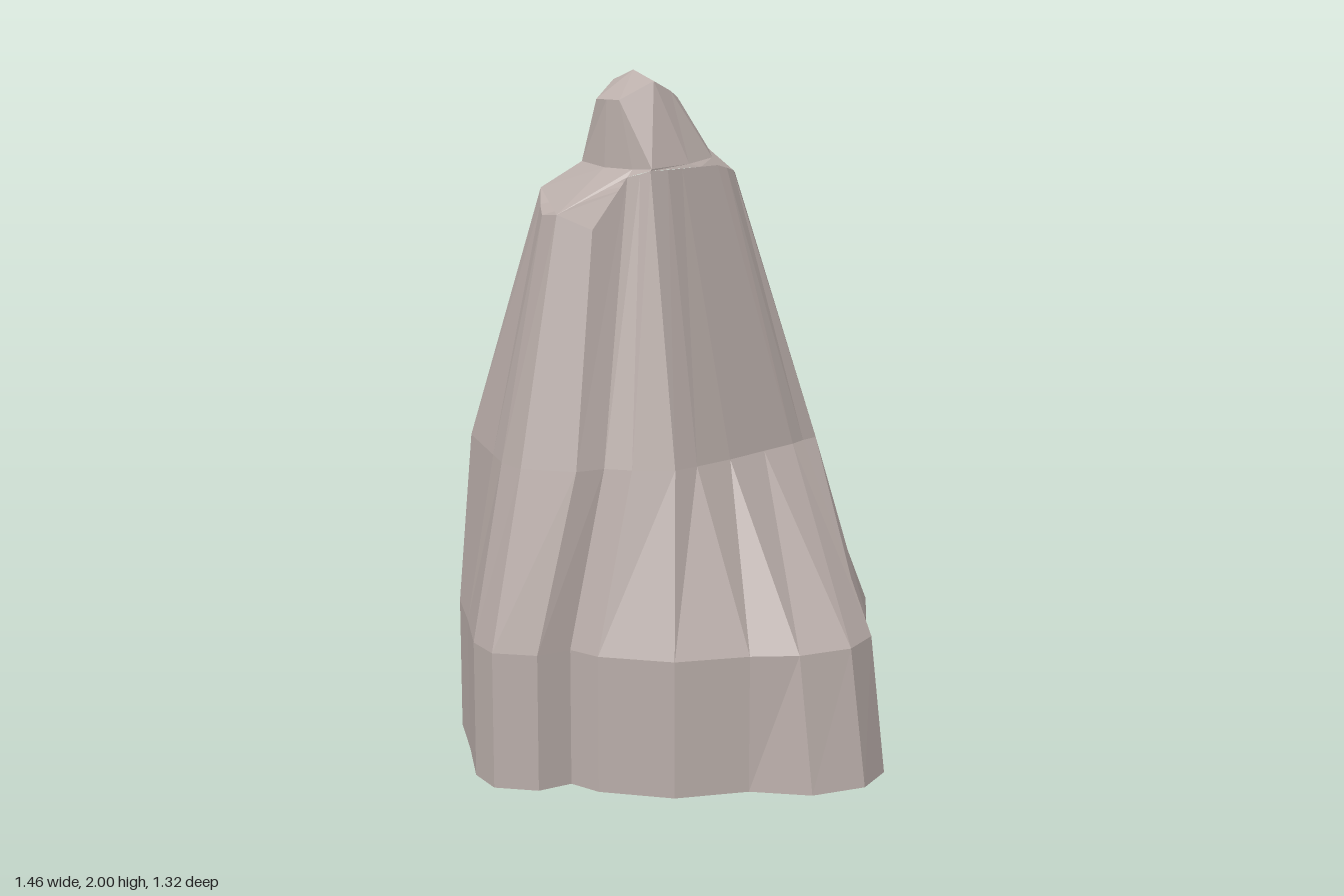
import * as THREE from 'three';

const material = new THREE.MeshStandardMaterial({ color: 0xb9ada9, flatShading: true });

// Joins equal-length rings into a skin; optional centre points close the ends.
function loft(name, rings, bottom, top) {
  const pos = [];
  const tri = (a, b, c) => pos.push(...a, ...b, ...c);
  const n = rings[0].length;
  for (let i = 0; i < n; i++) {
    const j = (i + 1) % n;
    for (let r = 0; r < rings.length - 1; r++) {
      const lo = rings[r], hi = rings[r + 1];
      tri(lo[i], hi[i], lo[j]);
      tri(lo[j], hi[i], hi[j]);
    }
    if (bottom) tri(bottom, rings[0][i], rings[0][j]);
    if (top) tri(top, rings[rings.length - 1][j], rings[rings.length - 1][i]);
  }
  const geo = new THREE.BufferGeometry();
  geo.setAttribute('position', new THREE.Float32BufferAttribute(pos, 3));
  geo.computeVertexNormals();
  const mesh = new THREE.Mesh(geo, material);
  mesh.name = name;
  return mesh;
}

// Outlines run left -> back -> right -> front as [x, z]
const footprint = [
  [-0.73, -0.06], [-0.6, -0.33], [-0.46, -0.5], [-0.32, -0.64], [-0.19, -0.66], [-0.04, -0.655],
  [0.1, -0.615], [0.24, -0.615], [0.4, -0.48], [0.51, -0.34], [0.55, -0.27], [0.7, -0.19],
  [0.73, -0.06], [0.66, 0.09], [0.51, 0.19], [0.39, 0.37], [0.2, 0.48], [0.1, 0.49],
  [0.07, 0.59], [-0.04, 0.66], [-0.15, 0.63], [-0.32, 0.5], [-0.49, 0.38], [-0.6, 0.2],
];
const waist = [
  [-0.67, 0], [-0.56, -0.21], [-0.46, -0.36], [-0.33, -0.42], [-0.22, -0.44], [-0.04, -0.43],
  [0.07, -0.42], [0.14, -0.41], [0.23, -0.38], [0.3, -0.35], [0.3, -0.29], [0.31, -0.23],
  [0.31, -0.1], [0.31, 0.05], [0.3, 0.18], [0.29, 0.26], [0.2, 0.34], [0.13, 0.38],
  [0.1, 0.46], [-0.04, 0.54], [-0.14, 0.52], [-0.23, 0.47], [-0.48, 0.33], [-0.58, 0.15],
];
// Uneven shoulder as [x, y, z]
const shoulder = [
  [-0.33, 1.67, -0.13], [-0.31, 1.66, -0.17], [-0.27, 1.66, -0.22], [-0.2, 1.67, -0.22],
  [-0.14, 1.68, -0.21], [-0.04, 1.69, -0.23], [0.04, 1.69, -0.225], [0.09, 1.69, -0.21],
  [0.12, 1.7, -0.18], [0.14, 1.71, -0.15], [0.15, 1.72, -0.11], [0.15, 1.73, -0.07],
  [0.15, 1.73, 0], [0.15, 1.73, 0.08], [0.15, 1.73, 0.14], [0.14, 1.73, 0.2],
  [0.11, 1.72, 0.21], [0.07, 1.71, 0.22], [0.05, 1.57, 0.34], [-0.04, 1.61, 0.39],
  [-0.13, 1.6, 0.36], [-0.21, 1.62, 0.29], [-0.27, 1.66, 0.23], [-0.31, 1.67, 0.05],
];

// Peak: grows from selected shoulder points, with an overhanging front
const peakStarts = [0, 2, 5, 7, 9, 12, 15, 17, 19, 22];
const neck = [
  [-0.19, 1.77, 0.04], [-0.15, 1.76, -0.12], [-0.04, 1.77, -0.12], [0.07, 1.77, -0.12],
  [0.12, 1.75, -0.08], [0.14, 1.74, 0.04], [0.14, 1.735, 0.195], [0.07, 1.73, 0.2],
  [-0.04, 1.73, 0.2], [-0.15, 1.74, 0.18],
];
const crown = [
  [-0.12, 1.97, 0.08], [-0.12, 1.92, -0.03], [-0.04, 1.93, -0.03], [0.03, 1.92, -0.03],
  [0.04, 1.94, 0.01], [0.04, 1.97, 0.08], [0.01, 1.92, 0.19], [0, 1.92, 0.19],
  [-0.04, 1.92, 0.19], [-0.08, 1.92, 0.19],
];

export function createModel() {
  const rock = new THREE.Group();
  rock.name = 'rock';

  const base = footprint.map(([x, z]) => [x, 0, z]);
  // The side buttress (points 11-13) tapers slightly above the ground
  const foot = footprint.map(([x, z], i) => [i >= 11 && i <= 13 ? x * 0.92 : x, 0.4, z]);
  const middle = waist.map(([x, z]) => [x, 0.91, z]);

  rock.add(loft('rockBody', [base, foot, middle, shoulder], [0, 0, 0], [-0.03, 1.68, 0.02]));
  rock.add(loft('rockPeak', [peakStarts.map((i) => shoulder[i]), neck, crown], null, [-0.04, 2, 0.08]));
  return rock;
}
